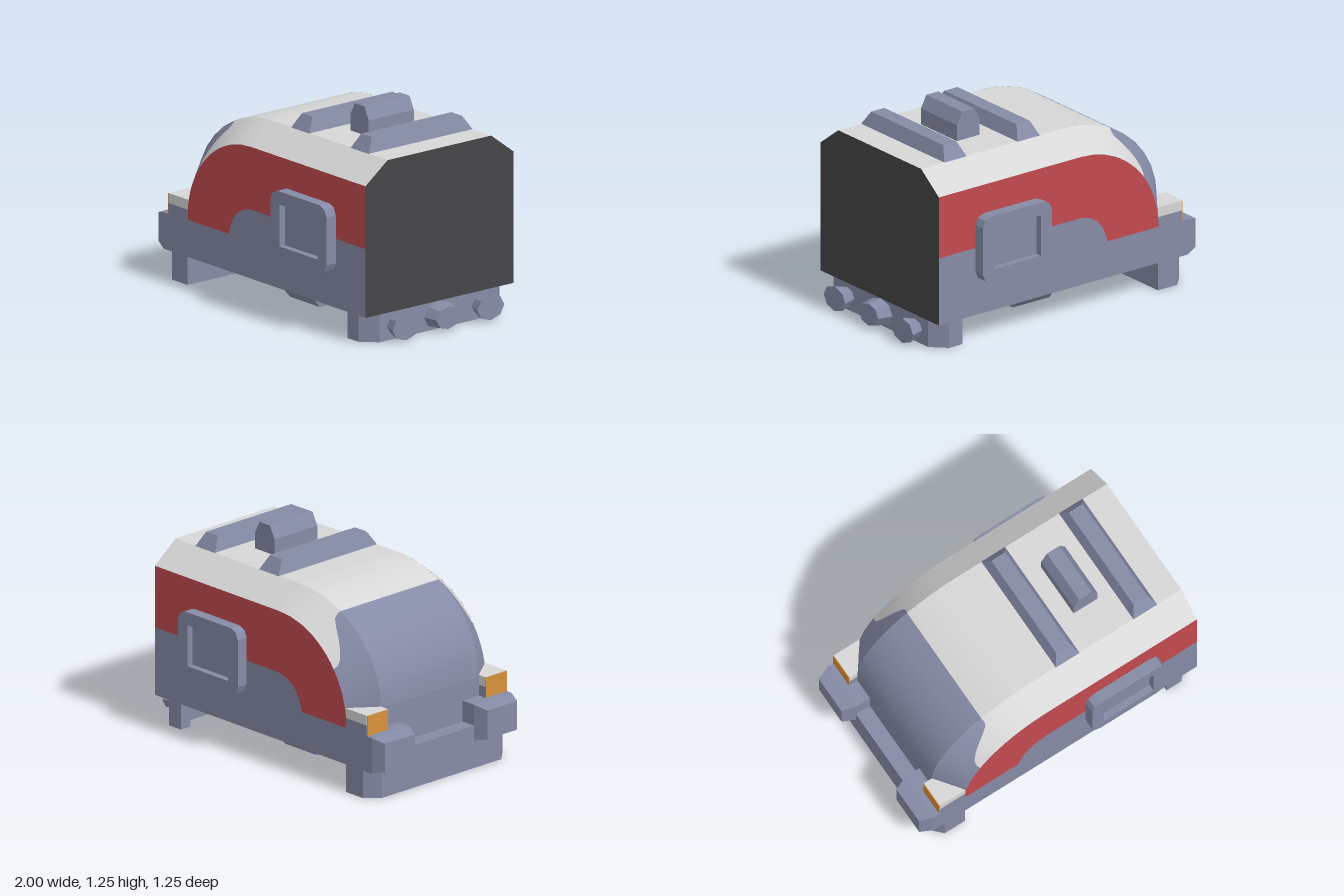
import * as THREE from 'three';

const mat = (name, color, side = THREE.FrontSide) => {
  const m = new THREE.MeshStandardMaterial({ color, side });
  m.name = name;
  return m;
};

export function createModel() {
  const D = THREE.DoubleSide;
  const blue = mat('slate blue', 0x868ba6, D);
  const red = mat('signal red', 0xc24a4f, D);
  const white = mat('light grey', 0xd8d7d7, D);
  const dark = mat('charcoal', 0x454547, D);
  const orange = mat('amber', 0xd8913a);

  const model = new THREE.Group();
  model.name = 'locomotive';
  const root = new THREE.Group();
  root.name = 'body';
  root.rotation.y = -0.031;
  root.position.z = -0.018;
  model.add(root);

  const add = (name, geo, material, x = 0, y = 0, z = 0) => {
    const m = new THREE.Mesh(geo, material);
    m.name = name;
    m.position.set(x, y, z);
    root.add(m);
    return m;
  };
  const shape = (pts) => new THREE.Shape(pts.map(([a, b]) => new THREE.Vector2(a, b)));
  // Upright prism from an [x, z] plan
  const prism = (pts, y0, y1) => {
    const g = new THREE.ExtrudeGeometry(shape(pts.map(([x, z]) => [x, -z])), { depth: y1 - y0, bevelEnabled: false });
    return g.rotateX(-Math.PI / 2).translate(0, y0, 0);
  };
  // Box standing on y = 0 with a smaller or larger top
  const frustum = (w0, d0, w1, d1, h) => {
    const g = new THREE.BoxGeometry(w0, h, d0).translate(0, h / 2, 0);
    const p = g.attributes.position;
    for (let i = 0; i < p.count; i++) {
      if (p.getY(i) > h / 2) p.setXYZ(i, p.getX(i) * w1 / w0, h, p.getZ(i) * d1 / d0);
    }
    g.computeVertexNormals();
    return g;
  };
  // Surface patch from fn(u, v), flipped when mirrored
  const patch = (nu, nv, fn, flip) => {
    const pos = [], idx = [];
    for (let i = 0; i <= nu; i++) for (let j = 0; j <= nv; j++) pos.push(...fn(i / nu, j / nv));
    for (let i = 0; i < nu; i++) for (let j = 0; j < nv; j++) {
      const a = i * (nv + 1) + j, b = a + 1, c = a + nv + 1, d = c + 1;
      idx.push(...(flip ? [a, b, c, b, d, c] : [a, c, b, b, c, d]));
    }
    const g = new THREE.BufferGeometry();
    g.setAttribute('position', new THREE.Float32BufferAttribute(pos, 3));
    g.setIndex(idx);
    g.computeVertexNormals();
    return g;
  };

  // Hull curve: a = angle up the nose, t = 0 at the side edge, 1 at the roof edge
  const END = 0.903, CX = -0.13, W = 0.55, WR = 0.385, FLOOR = 0.168;
  const lerp = THREE.MathUtils.lerp;
  const hull = (a, t, s) => [
    CX - lerp(0.565, 0.68, t) * Math.cos(a),
    lerp(0.39, 0.5, t) + lerp(0.565, 0.58, t) * Math.sin(a),
    s * lerp(W, WR, t)];
  const Q = Math.PI / 2;
  const splitAt = (t) => THREE.MathUtils.degToRad(36 + 24 * THREE.MathUtils.smoothstep(t, 0.12, 0.85));

  // Roof centre: windscreen, curved roof, flat roof
  const across = (a, v) => { const p = hull(a, 1, 1); p[2] = lerp(WR, -WR, v); return p; };
  add('windscreen', patch(6, 1, (u, v) => across(u * splitAt(1), v), true), blue);
  add('roofCurve', patch(4, 1, (u, v) => across(lerp(splitAt(1), Q, u), v), true), white);
  add('roofFlat', patch(1, 1, (u, v) => [lerp(CX, END, u), 1.08, lerp(WR, -WR, v)], true), white);

  // Sloped roof shoulders and painted sides
  const arc = [];
  for (let i = 0; i <= 9; i++) arc.push(hull(i / 9 * Q, 0, 1).slice(0, 2));
  const stripe = [[END, 0.58], [-0.13, 0.58], [-0.19, 0.567], [-0.25, 0.53], [-0.29, 0.48], [-0.313, 0.425], [-0.322, 0.39]];
  for (const s of [1, -1]) {
    const flip = s > 0;
    add('windscreenShoulder', patch(6, 8, (u, t) => hull(u * splitAt(t), t, s), flip), blue);
    add('roofShoulderCurve', patch(6, 8, (u, t) => hull(lerp(splitAt(t), Q, u), t, s), flip), white);
    add('roofShoulder', patch(1, 1, (u, t) => [lerp(CX, END, u), lerp(0.955, 1.08, t), s * lerp(W, WR, t)], flip), white);
    const upper = new THREE.ShapeGeometry(shape([...arc, [END, 0.955], ...stripe]));
    const lower = new THREE.ShapeGeometry(shape([[-0.695, FLOOR], [END, FLOOR], ...stripe, [-0.695, 0.39]]));
    for (const [n, g, m] of [['redSide', upper, red], ['lowerSide', lower, blue]]) {
      if (s < 0) g.rotateY(Math.PI).scale(-1, 1, 1).index.array.reverse();
      g.computeVertexNormals();
      add(n, g, m, 0, 0, s * W);
    }
  }

  // Flat end wall, floor and lower nose
  const wall = shape([[-W, FLOOR], [W, FLOOR], [W, 0.955], [WR, 1.08], [-WR, 1.08], [-W, 0.955]]);
  add('endWall', new THREE.ShapeGeometry(wall).rotateY(Math.PI / 2), dark, END);
  add('floor', prism([[-0.81, -WR], [-0.695, -0.549], [0.9, -0.549], [0.9, 0.549], [-0.695, 0.549], [-0.81, WR]], FLOOR, 0.19), blue);
  add('lowerNose', prism([[-0.81, -WR], [-0.685, -0.549], [-0.5, -0.549], [-0.5, 0.549], [-0.685, 0.549], [-0.81, WR]], 0.18, 0.5), blue);
  add('noseDeck', new THREE.BoxGeometry(0.11, 0.09, 0.53), blue, -0.85, 0.213, 0);

  // Corner lamps and buffers
  for (const s of [1, -1]) {
    const plan = [[-0.863, 0.55], [-0.688, 0.55], [-0.8, 0.385], [-0.863, 0.385]].map(([x, z]) => [x, s * z]);
    add('cornerBlock', prism(plan, FLOOR, 0.45), blue);
    add('lampCover', prism(plan, 0.45, 0.51), white);
    add('lampLens', new THREE.BoxGeometry(0.006, 0.122, 0.163), orange, -0.865, 0.447, s * 0.468);
    add('bufferBase', new THREE.BoxGeometry(0.105, 0.217, 0.294), blue, -0.8525, 0.2765, s * 0.403);
    add('buffer', frustum(0.217, 0.294, 0.175, 0.235, 0.08).rotateZ(Math.PI / 2), blue, -0.905, 0.2765, s * 0.403);
  }

  // Side windows: chamfered frame round a recessed pane
  for (const s of [1, -1]) {
    const frame = shape([[-0.19, -0.203], [0.19, -0.203], [0.232, -0.185], [0.25, -0.143], [0.25, 0.143], [0.232, 0.185],
      [0.19, 0.203], [-0.19, 0.203], [-0.232, 0.185], [-0.25, 0.143], [-0.25, -0.143], [-0.232, -0.185]]);
    frame.holes.push(new THREE.Path([[-0.17, -0.125], [-0.17, 0.125], [0.17, 0.125], [0.17, -0.125]].map((p) => new THREE.Vector2(...p))));
    add('windowFrame', new THREE.ExtrudeGeometry(frame, { depth: 0.07, bevelEnabled: false }), blue, 0.387, 0.577, s > 0 ? W : -W - 0.07);
    add('windowPane', new THREE.BoxGeometry(0.36, 0.27, 0.03), blue, 0.387, 0.578, s * (W + 0.015));
  }

  // Roof bars and central vent
  for (const x of [0.123, 0.655]) add('roofBar', frustum(0.165, 0.776, 0.095, 0.67, 0.085), blue, x, 1.077, 0);
  const vent = shape([[-0.082, 0], [0.082, 0], [0.082, 0.1], [0.043, 0.175], [-0.043, 0.175], [-0.082, 0.1]]);
  add('roofVent', new THREE.ExtrudeGeometry(vent, { depth: 0.336, bevelEnabled: false }), blue, 0.39, 1.077, -0.168);

  // Underframe: nose skirt, rear beam, tank and cross box
  add('noseSkirt', prism([[-0.69, -0.55], [-0.83, -0.55], [-0.905, -0.47], [-0.905, 0.47], [-0.83, 0.55], [-0.69, 0.55]], 0, 0.17), blue);
  add('rearBeam', prism([[0.71, -0.525], [0.81, -0.525], [0.895, -0.44], [0.895, 0.44], [0.81, 0.525], [0.71, 0.525],
    [0.71, 0.45], [0.79, 0.4], [0.79, -0.4], [0.71, -0.45]], 0, 0.17), blue);
  add('tank', prism([[-0.295, -0.14], [-0.2, -0.25], [0.2, -0.25], [0.295, -0.14], [0.295, 0.14], [0.2, 0.25], [-0.2, 0.25], [-0.295, 0.14]], 0.088, 0.17), blue);
  add('crossBox', frustum(0.264, 0.5, 0.264, 0.8, 0.17), blue);

  // Three eight-sided rear lamps
  for (const [z, r0, r1] of [[-0.315, 0.065, 0.1], [0, 0.11, 0.09], [0.315, 0.065, 0.1]]) {
    const g = new THREE.CylinderGeometry(r1, r0, 0.1, 8).toNonIndexed();
    g.computeVertexNormals();
    g.rotateZ(-Math.PI / 2).scale(1, 0.76, 1);
    add('rearLamp', g, blue, 0.935, 0.085, z);
  }
  return model;
}
